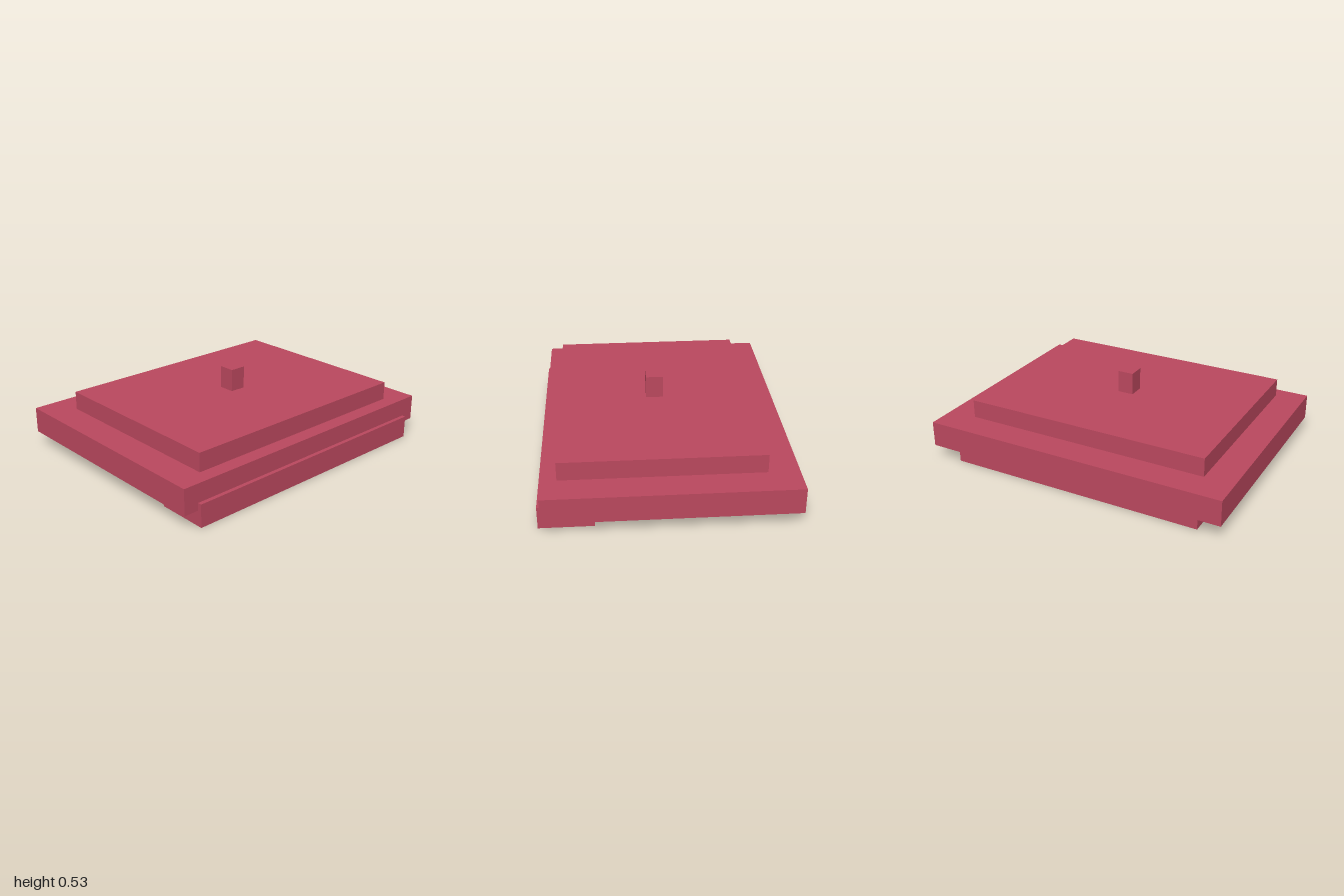
import * as THREE from 'three';

export function createModel() {
  const model = new THREE.Group();
  const red = new THREE.MeshStandardMaterial({ color: 0xba485e });
  red.name = 'dusty red';

  // Box given by its x range, y range and half depth in z
  function block(name, x0, x1, y0, y1, halfDepth) {
    const mesh = new THREE.Mesh(
      new THREE.BoxGeometry(x1 - x0, y1 - y0, halfDepth * 2), red);
    mesh.position.set((x0 + x1) / 2, (y0 + y1) / 2, 0);
    mesh.name = name;
    model.add(mesh);
  }

  // Base: a main body and a wider, taller strip along the left side
  block('baseBody', -0.728, 0.45, 0, 0.12, 0.84);
  block('baseSideStrip', 0.44, 0.772, 0, 0.145, 0.904);

  // Overhanging slab, raised tier and small knob
  block('slab', -0.775, 0.747, 0.098, 0.263, 1);
  block('upperTier', -0.584, 0.652, 0.263, 0.382, 0.809);
  block('knob', -0.02, 0.088, 0.382, 0.527, 0.052);

  return model;
}
